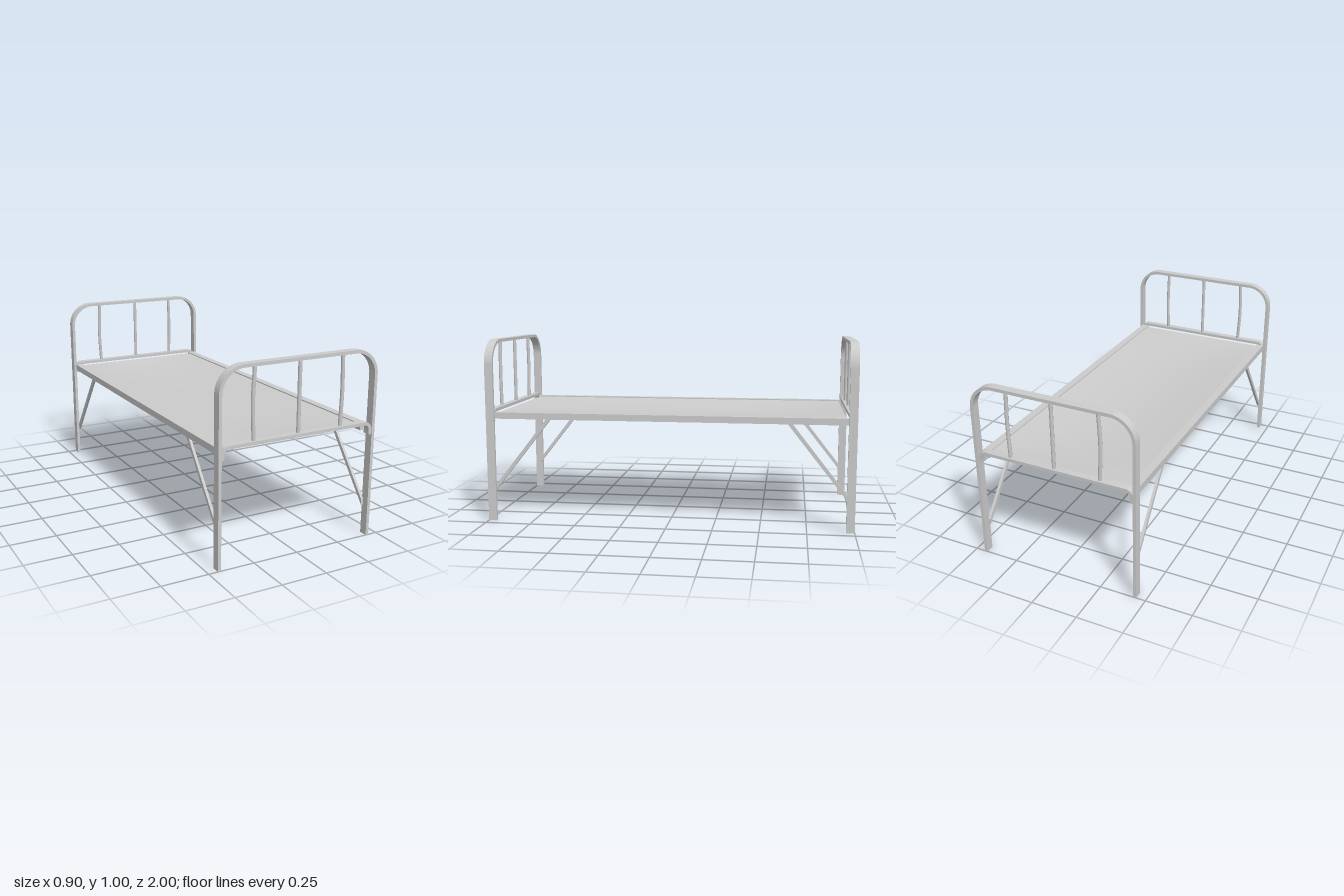
import * as THREE from 'three';
import { toCreasedNormals } from 'three/addons/utils/BufferGeometryUtils.js';

export function createModel() {
  const group = new THREE.Group();
  const metal = new THREE.MeshStandardMaterial({ color: 0xcccccc });
  const sheetMat = new THREE.MeshStandardMaterial({ color: 0xcccccc, side: THREE.DoubleSide });

  function add(name, geometry, parent = group, material = metal) {
    const mesh = new THREE.Mesh(geometry, material);
    mesh.name = name;
    parent.add(mesh);
    return mesh;
  }

  // Flat band bent into an upside-down U, extruded along z about z = 0
  function arch(halfWidth, bottom, top, radius, thick, depth) {
    const shape = new THREE.Shape();
    const w = halfWidth, wi = w - thick, ri = radius - thick;
    shape.moveTo(w, bottom);
    shape.lineTo(w, top - radius);
    shape.absarc(w - radius, top - radius, radius, 0, Math.PI / 2, false);
    shape.lineTo(-w + radius, top);
    shape.absarc(-w + radius, top - radius, radius, Math.PI / 2, Math.PI, false);
    shape.lineTo(-w, bottom);
    shape.lineTo(-wi, bottom);
    shape.lineTo(-wi, top - radius);
    shape.absarc(-w + radius, top - radius, ri, Math.PI, Math.PI / 2, true);
    shape.lineTo(w - radius, top - thick);
    shape.absarc(w - radius, top - radius, ri, Math.PI / 2, 0, true);
    shape.lineTo(wi, bottom);
    shape.closePath();
    const g = new THREE.ExtrudeGeometry(shape, { depth, bevelEnabled: false, curveSegments: 10 });
    g.translate(0, 0, -depth / 2);
    return toCreasedNormals(g, 0.6);
  }

  // Head and foot frames: legs with rounded top, cross rail and three bars
  for (const side of [1, -1]) {
    const end = new THREE.Group();
    end.name = side > 0 ? 'footFrame' : 'headFrame';
    end.position.z = side * 0.9775;
    group.add(end);
    add('legArch', arch(0.45, 0, 1, 0.135, 0.017, 0.045), end);
    add('crossRail', arch(0.433, 0.555, 0.622, 0.04, 0.017, 0.038), end);

    // Slightly bowed upright bars: [x, bow]
    for (const [x, bow] of [[-0.25, -0.008], [0, 0], [0.248, 0.005]]) {
      const path = new THREE.CatmullRomCurve3([
        new THREE.Vector3(x, 0.61, 0),
        new THREE.Vector3(x + bow, 0.8, 0),
        new THREE.Vector3(x, 0.99, 0),
      ]);
      add('uprightBar', new THREE.TubeGeometry(path, 8, 0.01, 8), end);
    }
  }

  for (const sx of [1, -1]) {
    // Side rail
    const rail = add('sideRail', new THREE.BoxGeometry(0.043, 0.035, 1.92));
    rail.position.set(sx * 0.4125, 0.5875, 0);

    // Diagonal braces from the legs up to the rail
    for (const sz of [1, -1]) {
      const corners = [[0.965, 0.16], [0.965, 0.19], [0.663, 0.575], [0.637, 0.575]];
      const shape = new THREE.Shape(corners.map(([z, y]) => new THREE.Vector2(z * sz, y)));
      const g = new THREE.ExtrudeGeometry(shape, { depth: 0.014, bevelEnabled: false });
      g.translate(0, 0, -0.007);
      g.rotateY(-Math.PI / 2);
      add('brace', g).position.x = sx * 0.427;
    }
  }

  // Sagging bed sheet held between the rails
  const sheet = new THREE.PlaneGeometry(0.8, 1.89, 16, 32);
  sheet.rotateX(-Math.PI / 2);
  const p = sheet.attributes.position;
  for (let i = 0; i < p.count; i++) {
    const u = p.getX(i) / 0.4, v = p.getZ(i) / 0.945;
    p.setY(i, 0.6 - 0.034 * Math.cos(u * Math.PI / 2) * (1 - v ** 4));
  }
  sheet.computeVertexNormals();
  add('bedSheet', sheet, group, sheetMat);

  return group;
}
